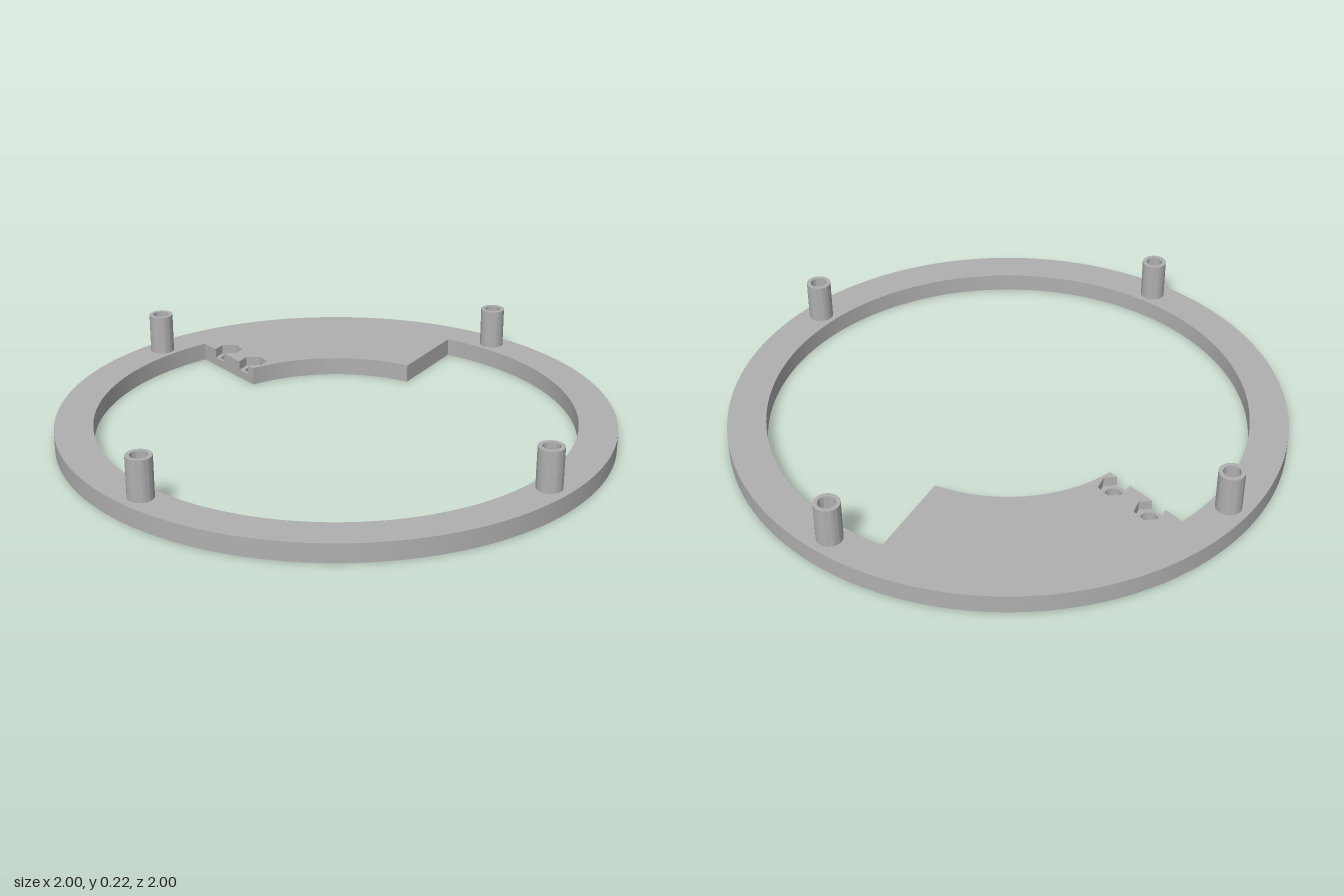
import * as THREE from 'three';
import { toCreasedNormals } from 'three/addons/utils/BufferGeometryUtils.js';

const TAU = Math.PI * 2;
const OUTER = 1, INNER = 0.863, TAB = 0.525;       // ring and tab radii
const HALF = THREE.MathUtils.degToRad(34.5);       // half angle of the tab
const PLATE = 0.067, FLOOR = 0.032, TOP = 0.215;   // heights
const POST_R = 0.045, BORE = 0.03, POST_AT = 0.655, HEX = 0.054;

// Shapes are drawn in plan with y pointing to the back (-z)
const posts = [[1, 1], [-1, 1], [-1, -1], [1, -1]].map(([a, b]) => [a * POST_AT, b * POST_AT]);
const nuts = [[-0.393, 0.644], [-0.297, 0.508]];
const A0 = Math.PI / 2 - HALF, A1 = Math.PI / 2 + HALF;

function circleHole(x, y, r) {
  return new THREE.Path().absarc(x, y, r, 0, TAU, true);
}

function extrude(shape, y0, y1, segments) {
  const g = new THREE.ExtrudeGeometry(shape, { depth: y1 - y0, bevelEnabled: false, curveSegments: segments });
  g.rotateX(-Math.PI / 2);
  g.translate(0, y0, 0);
  return toCreasedNormals(g, 0.6);
}

// Outline of a hexagonal nut pocket, cut off where it breaks through the radial edge of the tab
function pocketNotch([cx, cy]) {
  const n = new THREE.Vector2(Math.cos(A1 + Math.PI / 2), Math.sin(A1 + Math.PI / 2));
  const corner = k => new THREE.Vector2(cx + HEX * Math.cos(k * TAU / 6), cy + HEX * Math.sin(k * TAU / 6));
  const onEdge = (a, b) => a.clone().lerp(b, a.dot(n) / (a.dot(n) - b.dot(n)));
  return [onEdge(corner(2), corner(3)), corner(2), corner(1), corner(0), corner(5), onEdge(corner(5), corner(4))];
}

// One layer of the ring with its inward tab
function plateShape(withPockets) {
  const shape = new THREE.Shape().absarc(0, 0, OUTER, 0, TAU, false);
  const opening = new THREE.Path().absarc(0, 0, INNER, A0, A1, true);
  if (withPockets) nuts.forEach(c => pocketNotch(c).forEach(p => opening.lineTo(p.x, p.y)));
  opening.lineTo(TAB * Math.cos(A1), TAB * Math.sin(A1));
  opening.absarc(0, 0, TAB, A1, A0, true);
  opening.closePath();
  shape.holes.push(opening);
  posts.forEach(([x, y]) => shape.holes.push(circleHole(x, y, BORE)));
  if (!withPockets) nuts.forEach(([x, y]) => shape.holes.push(circleHole(x, y, BORE)));
  return shape;
}

export function createModel() {
  const model = new THREE.Group();
  model.name = 'mountingRing';
  const grey = new THREE.MeshStandardMaterial({ color: 0xb0b0b0 });
  grey.name = 'grey';

  const add = (name, geometry) => {
    const mesh = new THREE.Mesh(geometry, grey);
    mesh.name = name;
    model.add(mesh);
    return mesh;
  };

  // Ring: lower layer with screw holes, upper layer with nut pockets
  add('lowerPlate', extrude(plateShape(false), 0, FLOOR, 64));
  add('upperPlate', extrude(plateShape(true), FLOOR, PLATE, 64));

  // Four hollow standoff posts
  const tube = new THREE.Shape().absarc(0, 0, POST_R, 0, TAU, false);
  tube.holes.push(circleHole(0, 0, BORE));
  const postGeometry = extrude(tube, PLATE, TOP, 32);
  posts.forEach(([x, y], i) => add('post' + (i + 1), postGeometry).position.set(x, 0, -y));

  return model;
}
